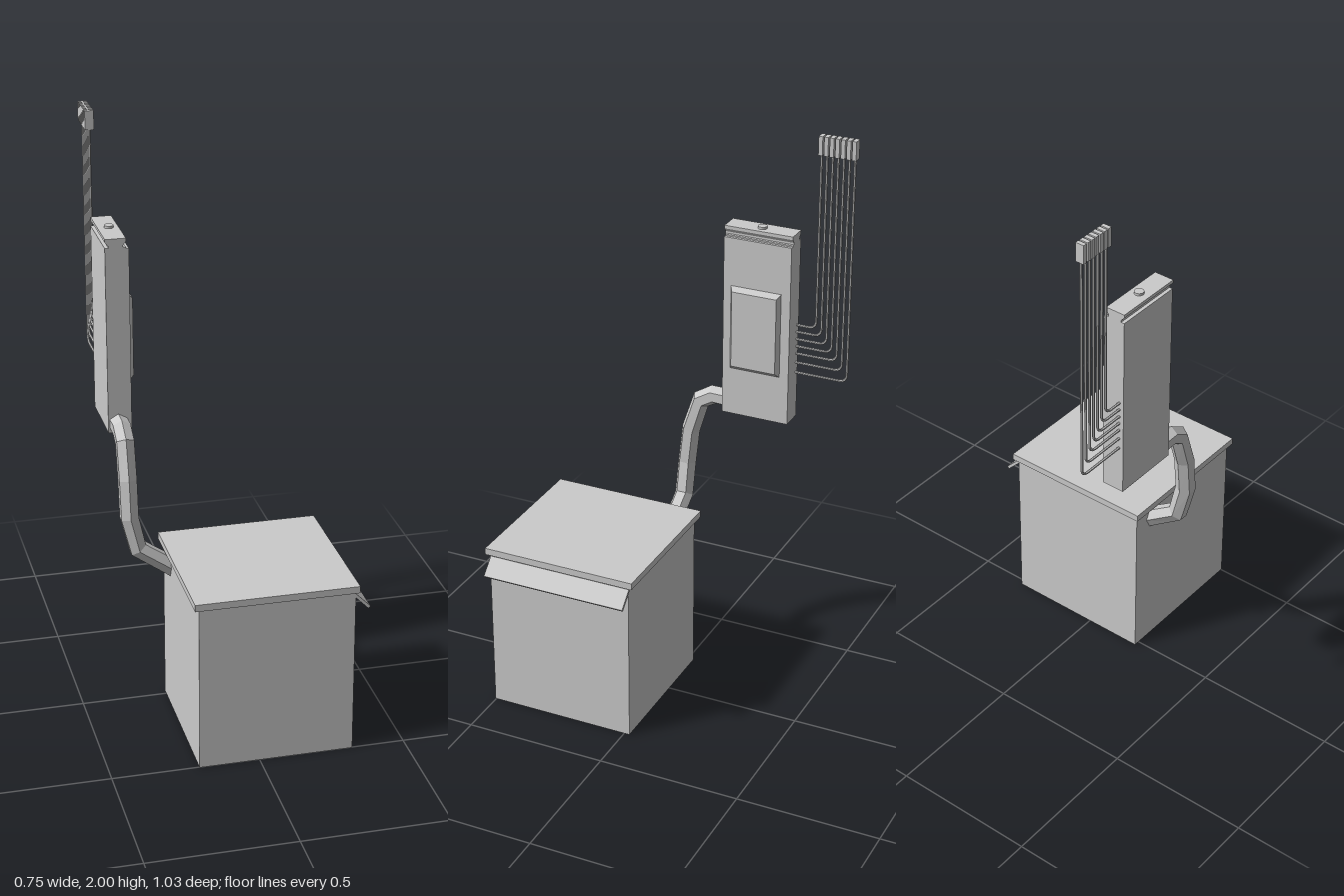
import * as THREE from 'three';

const grey = new THREE.MeshStandardMaterial({ color: 0xcccccc, flatShading: true });

// Curve that steps exactly through a list of points, so tube rings sit on the corners
class StepCurve extends THREE.Curve {
  constructor(points) {
    super();
    this.points = points.map((p) => new THREE.Vector3(...p));
  }
  index(u) { return Math.round(u * (this.points.length - 1)); }
  getPoint(u) { return this.points[this.index(u)].clone(); }
  getPointAt(u) { return this.getPoint(u); }
  getTangentAt(u) {
    const i = this.index(u), p = this.points, n = p.length - 1;
    const before = p[i].clone().sub(p[Math.max(i - 1, 0)]).normalize();
    const after = p[Math.min(i + 1, n)].clone().sub(p[i]).normalize();
    return before.add(after).normalize();
  }
}

export function createModel() {
  const model = new THREE.Group();

  const add = (name, geometry, parent = model) => {
    const mesh = new THREE.Mesh(geometry, grey);
    mesh.name = name;
    parent.add(mesh);
    return mesh;
  };
  // Box given by its limits on each axis
  const box = (name, [x0, x1], [y0, y1], [z0, z1], parent) => {
    const mesh = add(name, new THREE.BoxGeometry(x1 - x0, y1 - y0, z1 - z0), parent);
    mesh.position.set((x0 + x1) / 2, (y0 + y1) / 2, (z0 + z1) / 2);
    return mesh;
  };
  // Outline in x and y, extruded from z0 to z1
  const prism = (name, outline, z0, z1, parent) => {
    const shape = new THREE.Shape(outline.map((p) => new THREE.Vector2(...p)));
    const geometry = new THREE.ExtrudeGeometry(shape, { depth: z1 - z0, bevelEnabled: false });
    return add(name, geometry.translate(0, 0, z0), parent);
  };
  const tube = (name, points, radius, sides, parent) =>
    add(name, new THREE.TubeGeometry(new StepCurve(points), points.length - 1, radius, sides), parent);

  // Large box with overhanging lid and sloping side flap
  const crate = new THREE.Group();
  crate.name = 'largeBox';
  model.add(crate);
  box('boxBody', [-0.205, 0.32], [0, 0.59], [-0.02, 0.503], crate);
  box('lid', [-0.22, 0.331], [0.586, 0.61], [-0.037, 0.515], crate);
  prism('sideFlap', [[0.312, 0.572], [0.365, 0.518], [0.372, 0.526], [0.318, 0.58]], -0.022, 0.5, crate);

  // Bent six-sided pipe joining the box to the cabinet
  tube('pipe', [
    [-0.18, 0.52, 0.069], [-0.312, 0.612, 0.069], [-0.34, 0.73, 0.07], [-0.341, 0.86, 0.056],
    [-0.34, 0.98, 0.018], [-0.34, 1.009, -0.03], [-0.34, 1.007, -0.1],
  ], 0.034, 6);

  // Tall narrow cabinet with a door slab
  const cabinet = new THREE.Group();
  cabinet.name = 'cabinet';
  model.add(cabinet);
  box('cabinetBody', [-0.375, -0.305], [0.975, 1.625], [-0.322, -0.08], cabinet);
  box('door', [-0.305, -0.295], [0.975, 1.62], [-0.322, -0.08], cabinet);

  // Flared cap and its round button
  prism('cap', [
    [-0.363, 1.62], [-0.315, 1.62], [-0.315, 1.632], [-0.305, 1.645],
    [-0.305, 1.656], [-0.375, 1.656], [-0.375, 1.645], [-0.363, 1.632],
  ], -0.322, -0.077, cabinet);
  add('capButton', new THREE.CylinderGeometry(0.016, 0.016, 0.012, 20), cabinet)
    .position.set(-0.337, 1.658, -0.2);

  // Raised door panel with sloping edges
  const panel = new THREE.BoxGeometry(0.018, 0.305, 0.183);
  const pos = panel.attributes.position;
  for (let i = 0; i < pos.count; i++) {
    if (pos.getX(i) > 0) {
      pos.setY(i, pos.getY(i) - Math.sign(pos.getY(i)) * 0.016);
      pos.setZ(i, pos.getZ(i) - Math.sign(pos.getZ(i)) * 0.011);
    }
  }
  add('doorPanel', panel, cabinet).position.set(-0.287, 1.2975, -0.1985);

  // Row of bent wires, each topped with a small plug
  const wires = new THREE.Group();
  wires.name = 'wires';
  model.add(wires);
  const x = -0.359, bend = 0.024;
  const heights = [1.32, 1.295, 1.268, 1.242, 1.215, 1.182, 1.145];
  heights.forEach((y, i) => {
    const z = -0.392 - i * 0.0193;
    const path = [[x, y, -0.31]];
    for (let k = 0; k <= 4; k++) {
      const a = (k / 4) * Math.PI / 2;
      path.push([x, y + bend * (1 - Math.cos(a)), z + bend * (1 - Math.sin(a))]);
    }
    path.push([x, 1.95, z]);
    tube('wire', path, 0.0045, 6, wires);
    box('plug', [-0.374, -0.344], [1.935, 2], [z - 0.007, z + 0.007], wires);
  });

  return model;
}
